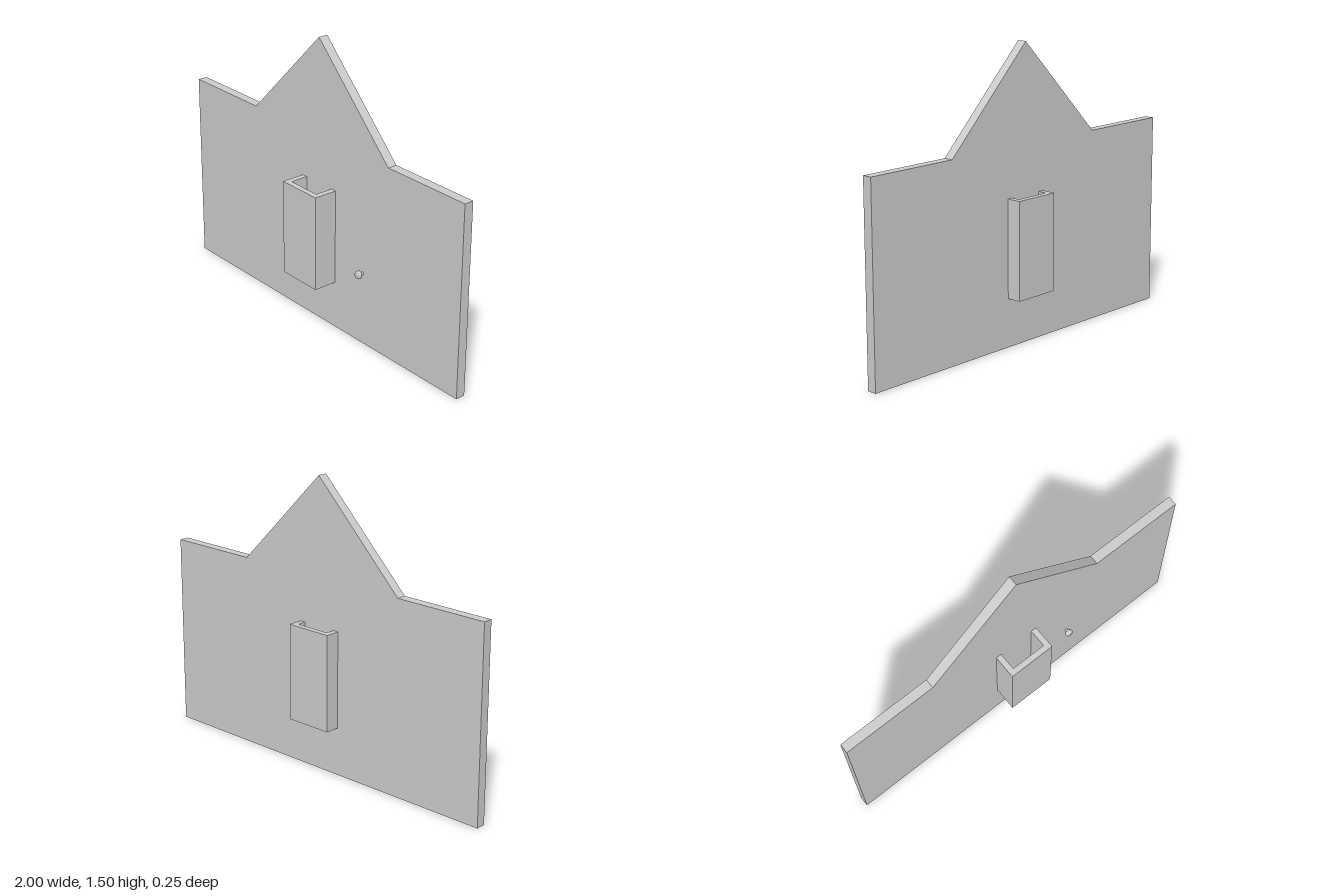
import * as THREE from 'three';

const material = new THREE.MeshStandardMaterial({ color: 0xcccccc });

function addPart(parent, name, geometry) {
  const mesh = new THREE.Mesh(geometry, material);
  mesh.name = name;
  parent.add(mesh);
  return mesh;
}

const polygon = (pairs) => pairs.map(([x, y]) => new THREE.Vector2(x, y));
const square = (r) => polygon([[-r, -r], [r, -r], [r, r], [-r, r]]);

export function createModel() {
  const model = new THREE.Group();
  model.name = 'gabledWall';

  // Thin wall with a central gable
  const outline = new THREE.Shape(polygon([
    [-1, 0], [1, 0], [1, 1], [0.5, 1], [0, 1.5], [-0.5, 1], [-1, 1],
  ]));
  const wall = addPart(model, 'wall',
    new THREE.ExtrudeGeometry(outline, { depth: 0.05, bevelEnabled: false }));
  wall.position.z = -0.05;

  // Hollow square sleeve passing through the wall, open at both ends
  const ring = new THREE.Shape(square(0.125));
  ring.holes.push(new THREE.Path(square(0.095)));
  const sleeve = addPart(model, 'sleeve',
    new THREE.ExtrudeGeometry(ring, { depth: 0.5, bevelEnabled: false }));
  sleeve.rotation.x = -Math.PI / 2;
  sleeve.position.y = 0.25;

  // Small turned knob on the front: stem, flared underside, rounded head
  const profile = polygon([
    [0.008, 0], [0.008, 0.011], [0.014, 0.014], [0.019, 0.018],
    [0.02, 0.022], [0.02, 0.031], [0.017, 0.036], [0, 0.037],
  ]);
  const knob = addPart(model, 'knob', new THREE.LatheGeometry(profile, 24));
  knob.rotation.x = Math.PI / 2;
  knob.position.set(0.33, 0.385, 0);

  return model;
}
